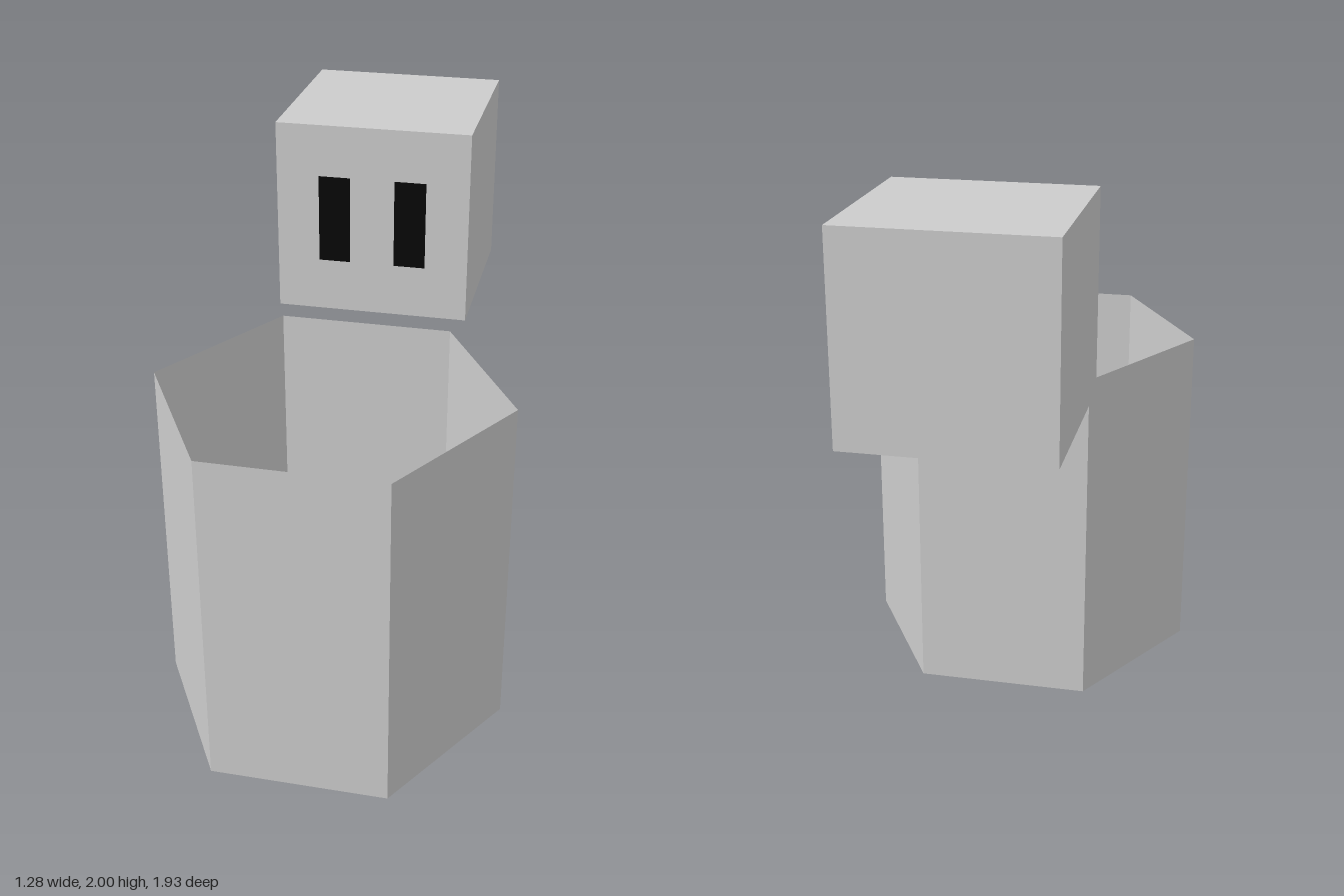
import * as THREE from 'three';

export function createModel() {
  const model = new THREE.Group();
  const grey = new THREE.MeshStandardMaterial({ color: 0xcccccc, flatShading: true, side: THREE.DoubleSide });
  grey.name = 'light grey';
  const black = new THREE.MeshStandardMaterial({ color: 0x080808 });
  black.name = 'black';

  const add = (name, geometry, material, x, y, z, parent = model) => {
    const mesh = new THREE.Mesh(geometry, material);
    mesh.name = name;
    mesh.position.set(x, y, z);
    parent.add(mesh);
    return mesh;
  };

  // Hollow hexagonal body: thin walls, closed floor, open top
  const radius = 0.64, height = 1.28, bodyZ = 0.413;
  const body = new THREE.Group();
  body.name = 'body';
  body.position.z = bodyZ;
  model.add(body);
  add('bodyWalls', new THREE.CylinderGeometry(radius, radius, height, 6, 1, true, Math.PI / 2),
    grey, 0, height / 2, 0, body);
  add('bodyFloor', new THREE.CircleGeometry(radius, 6).rotateX(Math.PI / 2), grey, 0, 0, 0, body);

  // Cube head, set behind and above the body
  const size = 0.72, headZ = -0.607;
  add('head', new THREE.BoxGeometry(size, size, size), grey, 0, height + size / 2, headZ);

  // Tall eyes as thin plates on the front of the head
  for (const side of [-1, 1]) {
    add(side > 0 ? 'leftEye' : 'rightEye', new THREE.BoxGeometry(0.117, 0.328, 0.006),
      black, side * 0.142, 1.643, headZ + size / 2 + 0.001);
  }
  return model;
}
